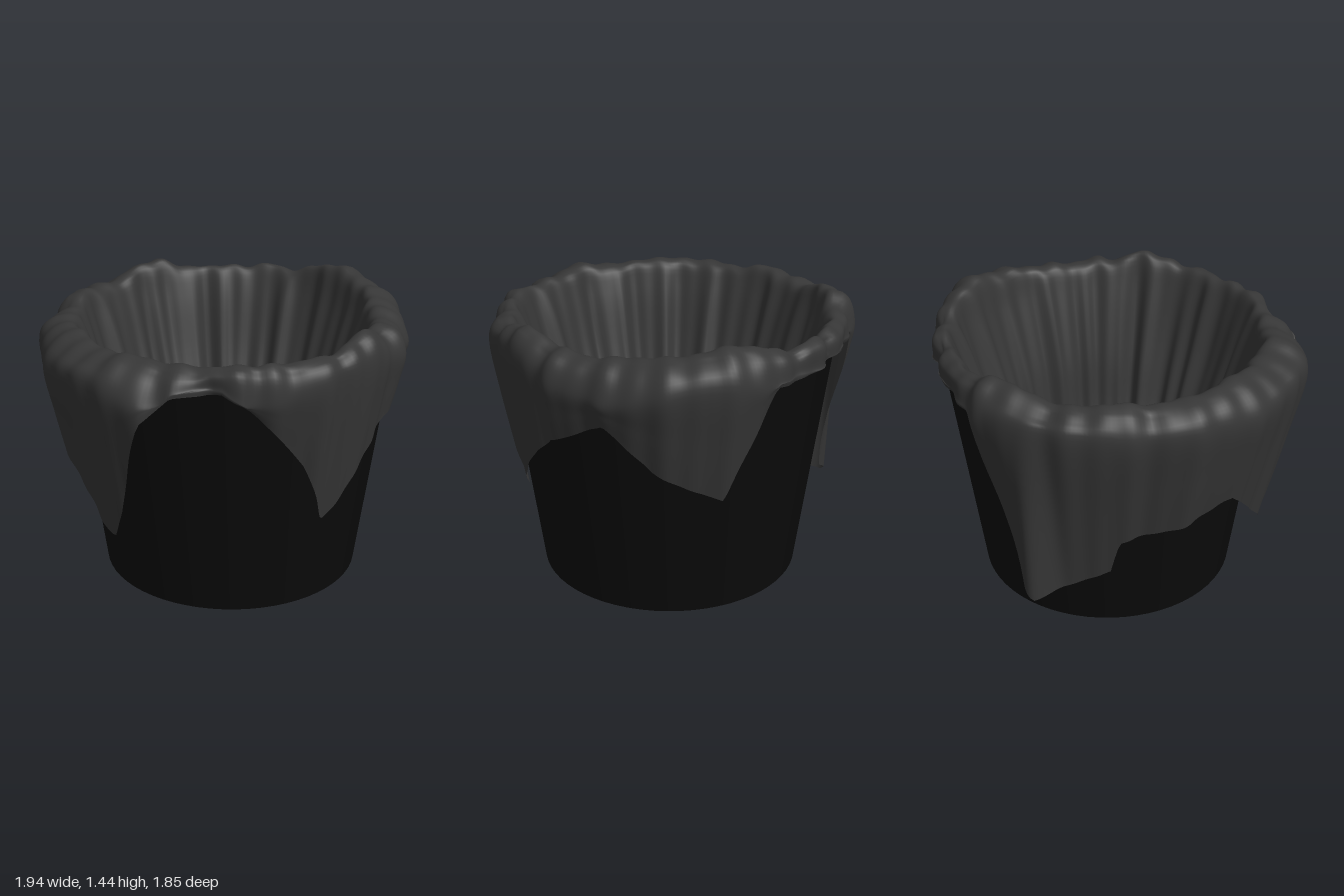
import * as THREE from 'three';
import { toCreasedNormals } from 'three/addons/utils/BufferGeometryUtils.js';

const CX = 0.055, CZ = 0.065;              // axis of the bin
const BIN_H = 1.24;
const binRadius = (y) => 0.67 + 0.133 * y; // outer wall taper

// Angles run from the front towards +x, in degrees.
// Hem height: four hanging corners with the bare rim showing between some of them
const HEM = [
  [-50, 1.2], [-28, 0.82], [-17, 0.48], [0, 0.73], [15, 0.92], [37, 1.07],
  [52, 0.86], [75, 0.68], [91, 1.24], [150, 1.22], [158, 0.75], [166, 0.34],
  [172, 0.27], [196, 0.38], [199, 0.58], [238, 0.73], [264, 0.39], [270, 0.55],
  [282, 1.1], [290, 1.24], [304, 1.25], [310, 1.2],
];
// Radius of the shoulder where the cloth turns down outside the rim
const SHOULDER = [
  [-50, 0.91], [0, 0.87], [37, 0.9], [70, 0.95], [108, 0.86], [135, 0.87], [160, 0.96],
  [175, 0.97], [200, 0.94], [250, 1], [282, 1.02], [300, 0.86], [310, 0.91],
];

function sample(keys, deg) {
  const i = Math.max(1, keys.findIndex((k) => k[0] >= deg));
  const [d0, v0] = keys[i - 1], [d1, v1] = keys[i];
  return THREE.MathUtils.mapLinear(deg, d0, d1, v0, v1);
}

const bump = (deg, centre, width) => Math.exp(-(((deg - centre) / width) ** 2));

// Irregular folds that repeat once round the rim
const folds = (a, s) =>
  0.45 * Math.sin(13 * a + 1.5 * Math.sin(3 * a) + s) +
  0.35 * Math.sin(22 * a + 2 * Math.sin(2 * a + 1) - 0.7 * s) +
  0.25 * Math.sin(37 * a + 1.3 * s);

// Cross-section of the cloth, from the bottom of the bag over the rim to the hem
function section(deg, rows) {
  const a = THREE.MathUtils.degToRad(deg);
  const hemY = sample(HEM, deg);
  const outR = sample(SHOULDER, deg);
  // The hem falls in towards the wall, but the back tail and the left fold stand off
  const hemR = Math.max(binRadius(hemY) + 0.03, outR - 0.2 * (BIN_H - hemY)) +
    0.16 * bump(deg, 171, 7) + 0.04 * bump(deg, 282, 6);
  const topY = 1.36 + 0.07 * bump(deg, 75, 22) + 0.04 * bump(deg, 0, 14) + 0.04 * bump(deg, 160, 15);
  const topR = 0.8 - 0.08 * bump(deg, 35, 45);
  const shoulderY = Math.max(topY - 0.15, Math.min(hemY + 0.02, topY - 0.09));
  const crestY = topY - 0.01 + 0.016 * folds(a, 2);
  const pts = [
    [0.001, 0.30], [0.28, 0.32], [0.48, 0.47], [topR - 0.17, 0.85], [topR - 0.06, 1.22],
    [topR, crestY],
    [(topR + outR) / 2 + 0.03, crestY - 0.03],
    [outR, shoulderY],
    [(outR + hemR) / 2 + 0.005, (shoulderY + hemY) / 2],
    [hemR, hemY],
  ].map(([r, y]) => new THREE.Vector2(r, y));
  return new THREE.SplineCurve(pts).getPoints(rows).map((p, j) => {
    const u = j / rows;
    const outside = u > 0.62;
    const depth = outside ? 0.02 : 0.035 * Math.sin(Math.PI * Math.min(1, u / 0.62));
    let r = Math.max(0.001, p.x + depth * folds(a, outside ? 2 + 2 * (u - 0.62) : 2 * u));
    const y = p.y + 0.008 * Math.sin(9 * a + 14 * u) * Math.min(1, u * 3);
    // Keep the cloth clear of the bin wall on either side
    if (outside && y < BIN_H + 0.03) r = Math.max(r, binRadius(y) + 0.014);
    if (!outside && y < BIN_H + 0.02) r = Math.min(r, binRadius(y) - 0.04);
    return [r, y];
  });
}

// Cross-sections joined into a closed ring
function clothGeometry(cols = 300, rows = 54) {
  const pos = [], index = [];
  const w = rows + 1;
  for (let i = 0; i < cols; i++) {
    const deg = -50 + (360 * i) / cols;
    const a = THREE.MathUtils.degToRad(deg);
    for (const [r, y] of section(deg, rows)) pos.push(CX + r * Math.sin(a), y, CZ + r * Math.cos(a));
    const n = (i + 1) % cols;
    for (let j = 0; j < rows; j++) {
      const p = i * w + j, q = n * w + j;
      index.push(p, p + 1, q + 1, p, q + 1, q);
    }
  }
  const g = new THREE.BufferGeometry();
  g.setAttribute('position', new THREE.Float32BufferAttribute(pos, 3));
  g.setIndex(index);
  g.computeVertexNormals();
  return g;
}

export function createModel() {
  const group = new THREE.Group();

  // Tapered bin with a thin wall and a closed floor
  const profile = [
    [0, 0], [binRadius(0), 0], [binRadius(BIN_H), BIN_H],
    [binRadius(BIN_H) - 0.015, BIN_H], [binRadius(0) - 0.015, 0.02], [0, 0.02],
  ].map(([r, y]) => new THREE.Vector2(r, y));
  const bin = new THREE.Mesh(
    toCreasedNormals(new THREE.LatheGeometry(profile, 64), 0.6),
    new THREE.MeshStandardMaterial({ color: 0x0a0a0a })
  );
  bin.name = 'bin';
  bin.position.set(CX, 0, CZ);
  group.add(bin);

  // Liner draped over the rim with four hanging corners
  const liner = new THREE.Mesh(
    clothGeometry(),
    new THREE.MeshStandardMaterial({ color: 0x363636, side: THREE.DoubleSide })
  );
  liner.name = 'clothLiner';
  group.add(liner);

  return group;
}
